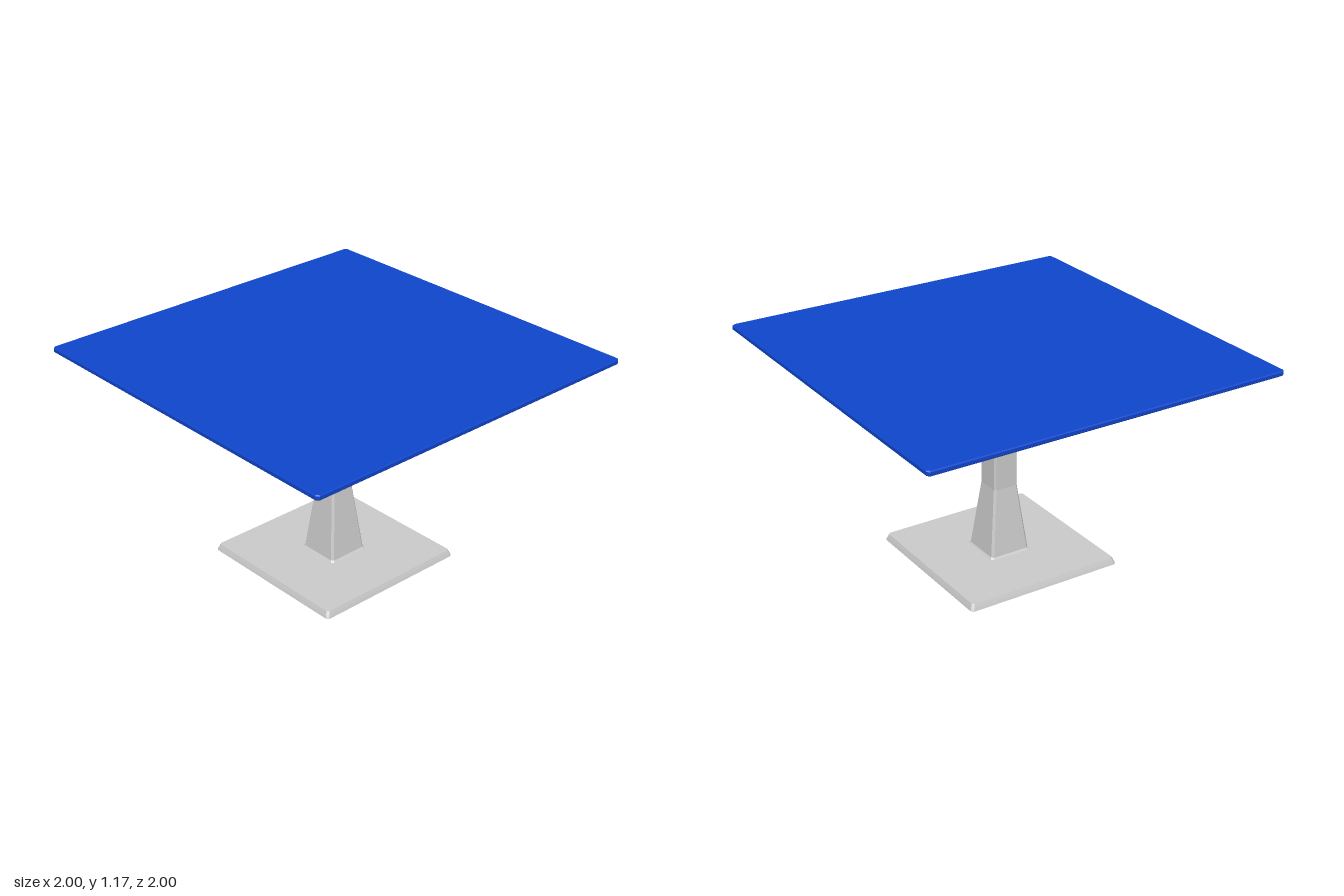
import * as THREE from 'three';

// Outline of a square with chamfered corners, 8 points
function ring(half, y, cut) {
  const points = [];
  for (let i = 0; i < 4; i++) {
    const a = i * Math.PI / 2, c = Math.cos(a), s = Math.sin(a);
    for (const t of [-(half - cut), half - cut]) {
      points.push([half * c - t * s, y, half * s + t * c]);
    }
  }
  return points;
}

// Faceted skin through sections [half width, height, corner cut]
function loft(sections) {
  const rings = sections.map((s) => ring(...s));
  const pos = [];
  for (let r = 0; r < rings.length - 1; r++) {
    for (let i = 0; i < 8; i++) {
      const j = (i + 1) % 8;
      const a = rings[r][i], b = rings[r][j], c = rings[r + 1][i], d = rings[r + 1][j];
      pos.push(...a, ...c, ...d, ...a, ...d, ...b);
    }
  }
  const geometry = new THREE.BufferGeometry();
  geometry.setAttribute('position', new THREE.Float32BufferAttribute(pos, 3));
  geometry.computeVertexNormals();
  return geometry;
}

export function createModel() {
  const group = new THREE.Group();
  const grey = new THREE.MeshStandardMaterial({ color: 0xcccccc, flatShading: true, side: THREE.DoubleSide });
  const blue = new THREE.MeshStandardMaterial({ color: 0x0f46cc, flatShading: true });

  const add = (name, sections, material) => {
    const mesh = new THREE.Mesh(loft(sections), material);
    mesh.name = name;
    group.add(mesh);
  };

  // Hollow foot plate: sloping skirt and top face, open below and in the middle
  add('footPlate', [[0.445, 0, 0.012], [0.44, 0.015, 0.012], [0.432, 0.035, 0.012], [0.12, 0.035, 0.012]], grey);

  // Hollow column: small fillet, flared lower part, straight shaft
  add('column', [[0.12, 0.035, 0.012], [0.113, 0.044, 0.012], [0.07, 0.41, 0.01], [0.07, 1.148, 0.01]], grey);

  // Solid table top with softened edges
  add('tableTop', [
    [0, 1.146, 0], [0.995, 1.146, 0.012], [1, 1.151, 0.014],
    [1, 1.168, 0.014], [0.995, 1.173, 0.012], [0, 1.173, 0],
  ], blue);

  return group;
}
